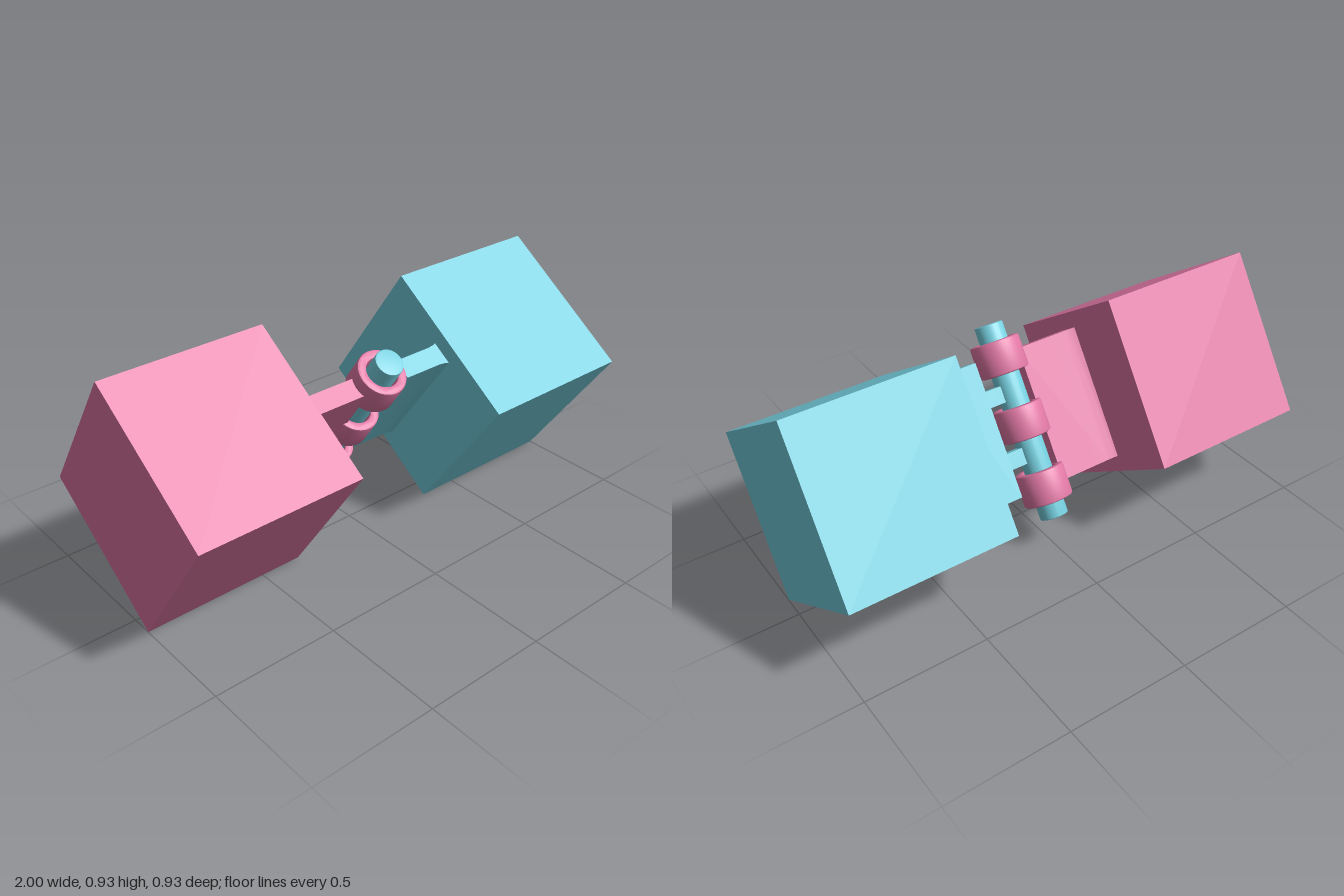
import * as THREE from 'three';
import { toCreasedNormals } from 'three/addons/utils/BufferGeometryUtils.js';

const pink = new THREE.MeshStandardMaterial({ color: 0xe078a4 });
pink.name = 'pink';
const teal = new THREE.MeshStandardMaterial({ color: 0x76cfdf });
teal.name = 'teal';

// Extrude a plan shape (x, depth) along the hinge axis, centred on it
function extrudeUp(shape, height, bevel) {
  const g = new THREE.ExtrudeGeometry(shape, {
    depth: height - 2 * bevel, curveSegments: 24, bevelEnabled: bevel > 0,
    bevelSize: bevel, bevelThickness: bevel, bevelOffset: -bevel, bevelSegments: 2,
  });
  g.translate(0, 0, bevel - height / 2);
  g.rotateX(-Math.PI / 2);
  return toCreasedNormals(g, 0.6);
}

// Plate with a slight flare where it meets its block; side is -1 or 1
function plateShape(side, inner) {
  const outline = [[inner, 0.04], [0.29, 0.04], [0.32, 0.043], [0.34, 0.05]];
  const points = outline.map(([x, z]) => new THREE.Vector2(side * x, z));
  const back = outline.map(([x, z]) => new THREE.Vector2(side * x, -z)).reverse();
  return new THREE.Shape([...points, ...back]);
}

export function createModel() {
  const model = new THREE.Group();
  model.name = 'hingedBlocks';
  const hinge = new THREE.Group();
  hinge.name = 'tiltedHinge';
  hinge.position.y = 0.466;
  hinge.rotation.x = 0.605;
  model.add(hinge);

  const add = (name, geometry, material, x = 0, y = 0, z = 0) => {
    const mesh = new THREE.Mesh(geometry, material);
    mesh.name = name;
    mesh.position.set(x, y, z);
    hinge.add(mesh);
  };

  // Blocks at both ends
  const block = new THREE.BoxGeometry(0.667, 0.667, 0.667);
  add('rightBlock', block, pink, -0.6665);
  add('leftBlock', block, teal, 0.6665, 0.004);

  // Hinge plates
  add('rightPlate', extrudeUp(plateShape(-1, 0.068), 0.54, 0), pink);
  add('leftPlate', extrudeUp(plateShape(1, 0.125), 0.54, 0), teal, 0, 0.004);

  // Three hollow knuckles
  const ring = new THREE.Shape().absarc(0, 0, 0.098, 0, Math.PI * 2, false);
  ring.holes.push(new THREE.Path().absarc(0, 0, 0.062, 0, Math.PI * 2, true));
  const knuckle = extrudeUp(ring, 0.13, 0.008);
  for (const y of [-0.262, 0, 0.262]) add('knuckle', knuckle, pink, 0, y);

  // Pin with softened ends
  const disc = new THREE.Shape().absarc(0, 0, 0.056, 0, Math.PI * 2, false);
  add('pin', extrudeUp(disc, 0.785, 0.005), teal);

  // Tabs joining the pin to the left plate
  const tab = new THREE.BoxGeometry(0.1, 0.065, 0.05);
  for (const y of [-0.125, 0.125]) add('pinTab', tab, teal, 0.085, y);

  return model;
}
